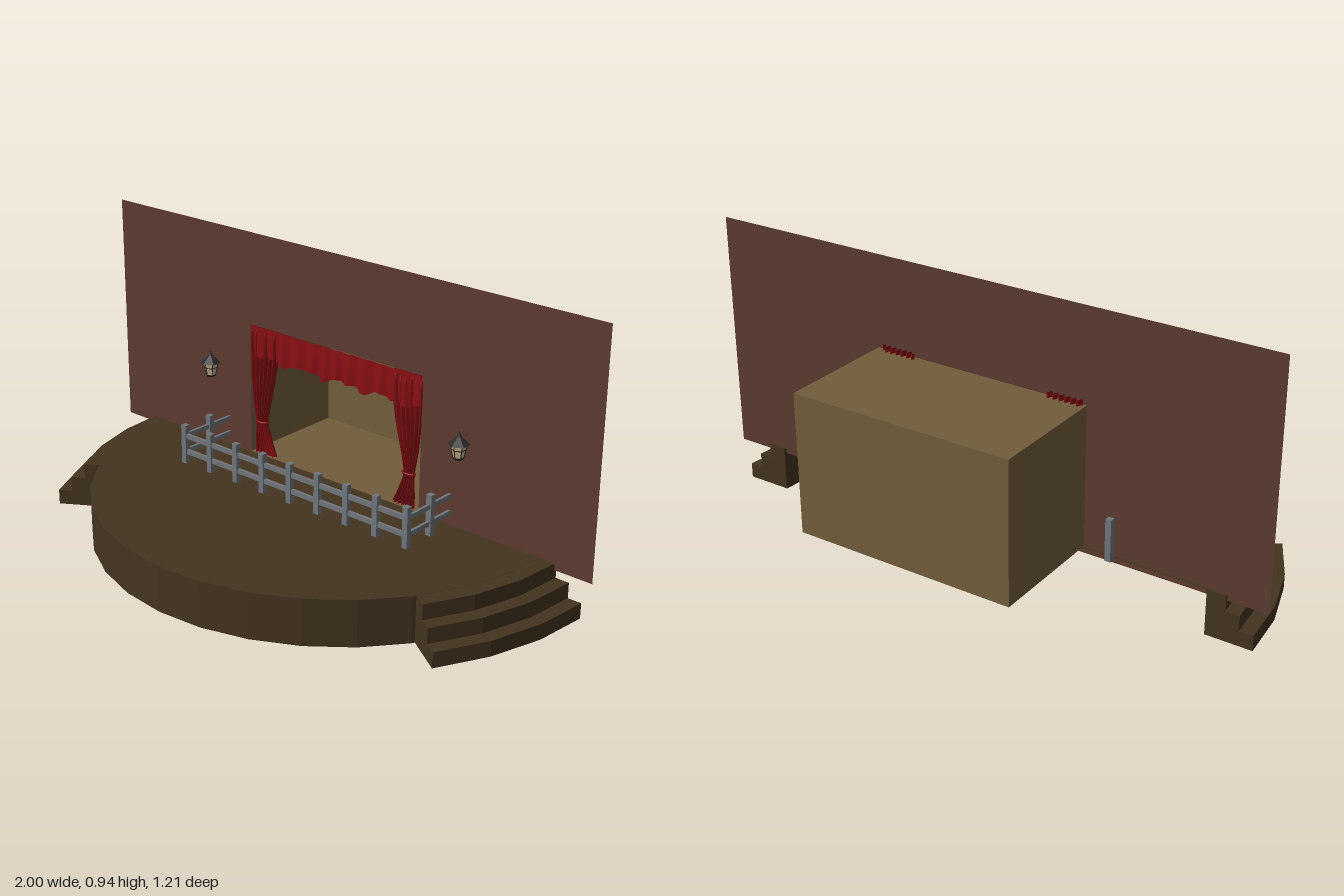
import * as THREE from 'three';

const mat = (color, flat = true) =>
  new THREE.MeshStandardMaterial({ color, flatShading: flat, side: THREE.DoubleSide });
const wood = mat(0x44341f), brick = mat(0x5c3b30), plaster = mat(0x725d3b), red = mat(0x8a0f14, false);
const iron = mat(0x70757a), dark = mat(0x2a2a2c), glass = mat(0xcdb892);

const FLOOR = 0.155, WALL_Z = -0.2, BACK_Z = -0.21;

export function createModel() {
  const root = new THREE.Group();
  const add = (parent, name, geo, material, x = 0, y = 0, z = 0) => {
    const m = new THREE.Mesh(geo, material);
    m.name = name;
    m.position.set(x, y, z);
    parent.add(m);
    return m;
  };
  const group = (name) => {
    const g = new THREE.Group();
    g.name = name;
    root.add(g);
    return g;
  };
  const box = (parent, name, material, x0, x1, y0, y1, z0, z1) =>
    add(parent, name, new THREE.BoxGeometry(x1 - x0, y1 - y0, z1 - z0), material,
      (x0 + x1) / 2, (y0 + y1) / 2, (z0 + z1) / 2);

  // Half-round stage, open at the back and underneath
  const stage = group('stage');
  add(stage, 'stageRim', new THREE.CylinderGeometry(0.815, 0.815, FLOOR, 16, 1, true, -Math.PI / 2, Math.PI),
    wood, 0, FLOOR / 2, BACK_Z);
  add(stage, 'stageFloor', new THREE.CircleGeometry(0.815, 16, 0, Math.PI).rotateX(Math.PI / 2),
    wood, 0, FLOOR, BACK_Z);

  // Curved steps on both sides: stacked ring sectors
  const steps = group('sideSteps');
  const rise = FLOOR / 3, sweep = THREE.MathUtils.degToRad(32.9);
  for (const side of [1, -1]) {
    [0.962, 0.915, 0.868].forEach((outer, i) => {
      const pts = [];
      for (let k = 0; k <= 3; k++) {
        const a = sweep * k / 3;
        pts.push(new THREE.Vector2(side * outer * Math.cos(a), outer * Math.sin(a)));
      }
      for (let k = 3; k >= 0; k--) {
        const a = sweep * k / 3;
        pts.push(new THREE.Vector2(side * 0.805 * Math.cos(a), 0.805 * Math.sin(a)));
      }
      const geo = new THREE.ExtrudeGeometry(new THREE.Shape(pts), { depth: rise, bevelEnabled: false });
      add(steps, 'step', geo.rotateX(Math.PI / 2), wood, 0, rise * (i + 1) - (i === 2 ? 0.0005 : 0), BACK_Z);
    });
  }

  // Back wall with the stage opening
  const rect = (Type, x0, x1, y0, y1) => new Type([
    new THREE.Vector2(x0, y0), new THREE.Vector2(x1, y0), new THREE.Vector2(x1, y1), new THREE.Vector2(x0, y1)]);
  const wallShape = rect(THREE.Shape, -1, 1, 0.133, 0.942);
  wallShape.holes.push(rect(THREE.Path, -0.38, 0.353, FLOOR + 0.002, 0.622));
  add(root, 'backWall', new THREE.ShapeGeometry(wallShape), brick, 0, 0, WALL_Z);

  // Room behind the opening: five thin faces, open to the front
  const room = group('backRoom');
  const W = 0.765, H = 0.473, D = 0.408, cy = FLOOR + H / 2 + 0.001, cz = WALL_Z - D / 2 - 0.001;
  add(room, 'roomBack', new THREE.PlaneGeometry(W, H), plaster, 0, cy, cz - D / 2);
  for (const s of [-1, 1]) {
    add(room, 'roomSide', new THREE.PlaneGeometry(D, H).rotateY(s * Math.PI / 2), plaster, s * W / 2, cy, cz);
    add(room, s > 0 ? 'roomCeiling' : 'roomFloor',
      new THREE.PlaneGeometry(W, D).rotateX(-s * Math.PI / 2), plaster, 0, cy + s * H / 2, cz);
  }

  // Curtains: pleated sheets whose edges follow [height, outer, inner] keys
  const curtains = group('curtains');
  const keys = [[0.165, 0.345, 0.255], [0.21, 0.345, 0.275], [0.272, 0.34, 0.298], [0.29, 0.342, 0.298],
    [0.36, 0.355, 0.28], [0.44, 0.362, 0.26], [0.52, 0.366, 0.246], [0.65, 0.366, 0.243]];
  const edges = (y) => {
    let i = 0;
    while (i < keys.length - 2 && y > keys[i + 1][0]) i++;
    const [a, b] = [keys[i], keys[i + 1]], t = (y - a[0]) / (b[0] - a[0]);
    return [a[1] + (b[1] - a[1]) * t, a[2] + (b[2] - a[2]) * t];
  };
  for (const side of [-1, 1]) {
    const geo = new THREE.PlaneGeometry(1, 1, 48, 30), p = geo.attributes.position;
    for (let i = 0; i < p.count; i++) {
      const u = p.getX(i) + 0.5, y = 0.165 + (p.getY(i) + 0.5) * 0.483;
      const [outer, inner] = edges(y);
      const z = 0.009 * Math.sin(u * Math.PI * 12) - (y > 0.6 ? 0.012 : 0);
      p.setXYZ(i, side * (outer + (inner - outer) * u) - 0.01, y, WALL_Z - 0.002 + z);
    }
    geo.computeVertexNormals();
    add(curtains, 'sideCurtain', geo, red);
    const tie = add(curtains, 'curtainTie', new THREE.TorusGeometry(0.023, 0.005, 6, 16).rotateX(Math.PI / 2),
      red, side * 0.319 - 0.01, 0.281, WALL_Z);
    tie.scale.z = 0.5;
  }

  // Valance with a wavy lower hem
  const valance = new THREE.PlaneGeometry(0.72, 1, 96, 6), vp = valance.attributes.position;
  for (let i = 0; i < vp.count; i++) {
    const x = vp.getX(i), t = 0.5 - vp.getY(i);
    const hem = 0.512 + 0.007 * Math.sin(x * 38) + 0.005 * Math.sin(x * 71 + 1);
    vp.setXYZ(i, x - 0.013, 0.621 + (hem - 0.621) * t,
      WALL_Z + 0.002 + (0.002 + 0.005 * t) * Math.sin(x * 110 + Math.sin(x * 23)));
  }
  valance.computeVertexNormals();
  add(curtains, 'valance', valance, red);

  // Railing: front run and two returns to the wall
  const railing = group('railing');
  const post = (x, z) => box(railing, 'railPost', iron, x - 0.01, x + 0.01, FLOOR - 0.004, 0.293, z - 0.01, z + 0.01);
  const X0 = -0.483, X1 = 0.473, Z = 0.015;
  for (let i = 0; i <= 8; i++) post(X0 + (X1 - X0) * i / 8, Z);
  post(X0, -0.102);
  post(X1, -0.102);
  post(X0, -0.222);
  for (const y of [0.197, 0.254]) {
    box(railing, 'frontRail', iron, X0, X1, y - 0.008, y + 0.008, Z - 0.005, Z + 0.005);
    for (const x of [X0, X1])
      box(railing, 'sideRail', iron, x - 0.005, x + 0.005, y - 0.008, y + 0.008, -0.211, Z);
  }

  // Lanterns on either side of the opening
  for (const x of [-0.532, 0.528]) {
    const lamp = group('lantern');
    lamp.position.set(x, 0, -0.16);
    add(lamp, 'lanternGlass', new THREE.CylinderGeometry(0.026, 0.016, 0.045, 6), glass, 0, 0.437, 0);
    add(lamp, 'lanternBase', new THREE.CylinderGeometry(0.02, 0.016, 0.007, 6), dark, 0, 0.412, 0);
    add(lamp, 'lanternBand', new THREE.CylinderGeometry(0.0245, 0.0235, 0.003, 6), dark, 0, 0.441, 0);
    add(lamp, 'lanternRoof', new THREE.CylinderGeometry(0.007, 0.036, 0.026, 6), dark, 0, 0.471, 0);
    add(lamp, 'lanternCap', new THREE.CylinderGeometry(0.006, 0.009, 0.006, 6), dark, 0, 0.486, 0);
    add(lamp, 'lanternFinial', new THREE.ConeGeometry(0.006, 0.015, 6), dark, 0, 0.495, 0);
    for (let i = 0; i < 6; i++) {
      const a = i * Math.PI / 3, s = Math.sin(a), c = Math.cos(a);
      const path = new THREE.LineCurve3(
        new THREE.Vector3(0.0165 * s, 0.412, 0.0165 * c), new THREE.Vector3(0.0265 * s, 0.46, 0.0265 * c));
      add(lamp, 'lanternBar', new THREE.TubeGeometry(path, 1, 0.002, 4), dark);
    }
  }
  return root;
}
